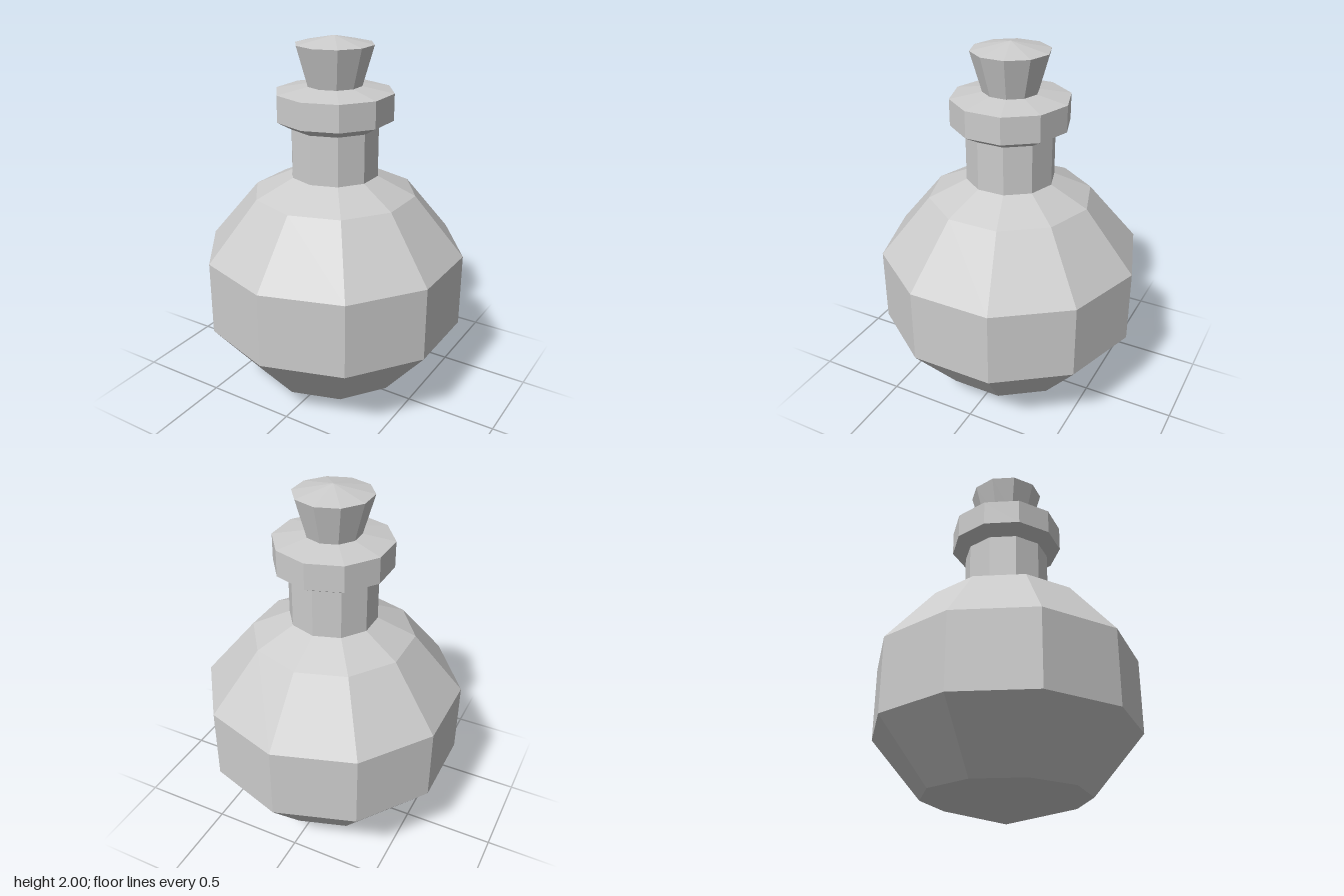
import * as THREE from 'three';

const SIDES = 10;

// Faceted part turned from [radius, height] points, listed bottom to top
function turned(name, profile) {
  const points = profile.map(([r, y]) => new THREE.Vector2(r, y));
  const material = new THREE.MeshStandardMaterial({
    color: 0xcccccc, flatShading: true, side: THREE.DoubleSide,
  });
  const geometry = new THREE.LatheGeometry(points, SIDES).toNonIndexed();
  geometry.computeVertexNormals();
  const mesh = new THREE.Mesh(geometry, material);
  mesh.name = name;
  return mesh;
}

export function createModel() {
  const bottle = new THREE.Group();
  bottle.name = 'bottle';
  bottle.add(
    // Round belly with a pointed base and sloping shoulder
    turned('belly', [[0, 0.005], [0.44, 0.13], [0.71, 0.453], [0.71, 0.856], [0.44, 1.18], [0.236, 1.276]]),
    turned('neck', [[0.236, 1.276], [0.236, 1.537]]),
    // Collar, closing in towards the stopper
    turned('lip', [[0.236, 1.537], [0.313, 1.58], [0.313, 1.72], [0.146, 1.75]]),
    // Tapered stopper with a shallow peaked top
    turned('stopper', [[0.146, 1.75], [0.206, 1.958], [0, 2]]),
  );
  return bottle;
}
